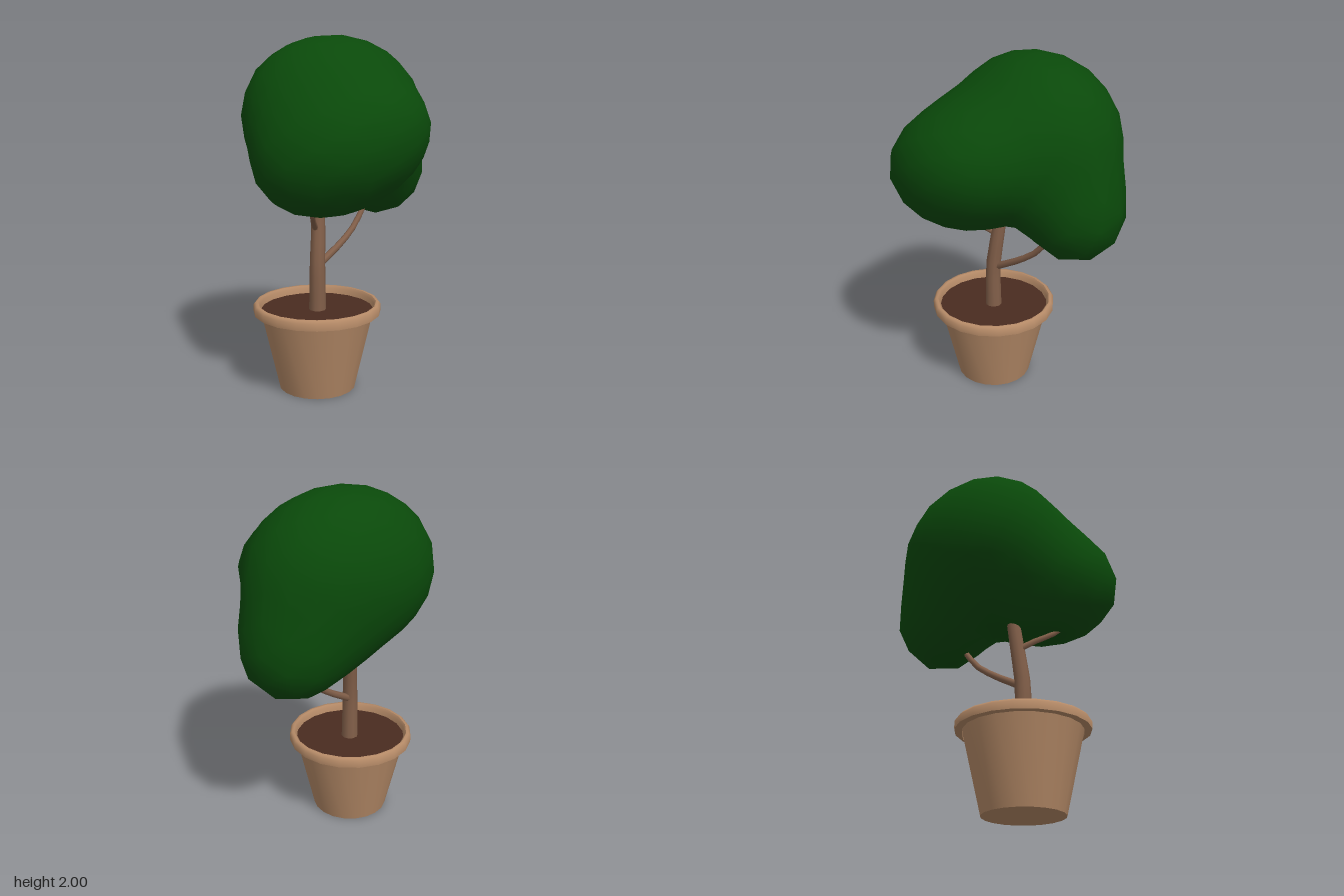
import * as THREE from 'three';
import { mergeVertices, toCreasedNormals } from 'three/addons/utils/BufferGeometryUtils.js';

const material = (name, color) => {
  const m = new THREE.MeshStandardMaterial({ color });
  m.name = name;
  return m;
};

// Tube along a smooth path, narrowing from radius r0 to r1
function taperedTube(points, r0, r1, sides, rings = 6) {
  const path = new THREE.CatmullRomCurve3(points.map(p => new THREE.Vector3(...p)));
  const geo = new THREE.TubeGeometry(path, rings, 1, sides);
  const pos = geo.attributes.position;
  const v = new THREE.Vector3();
  for (let i = 0; i < pos.count; i++) {
    const t = Math.floor(i / (sides + 1)) / rings;
    const c = path.getPointAt(t);
    v.fromBufferAttribute(pos, i).sub(c).multiplyScalar(r0 + (r1 - r0) * t).add(c);
    pos.setXYZ(i, v.x, v.y, v.z);
  }
  return geo;
}

// Foliage lobes: centre, radii, and lean (rise in y and z per unit of x)
const UPPER = { c: [-0.015, 1.56, -0.17], r: [0.51, 0.44, 0.43], lean: [0, -0.2] };
const FRONT = { c: [0.035, 1.395, 0.2], r: [0.475, 0.36, 0.425], lean: [0.2, -0.13] };
const CORNER = { c: [0.26, 1.22, -0.36], r: [0.28, 0.28, 0.27], lean: [0, 0] };

// Lobes spanning the gap between two others, so the skin bridges them
const span = (a, b, steps) => Array.from({ length: steps }, (_, i) => {
  const mix = key => a[key].map((v, j) => v + (b[key][j] - v) * i / (steps - 1));
  return { c: mix('c'), r: mix('r'), lean: mix('lean') };
});
const LOBES = [...span(UPPER, FRONT, 7), ...span(UPPER, CORNER, 7)];

// Approximate distance to the blended lobes, negative inside
function crownField(p) {
  const k = 0.008;
  let sum = 0;
  for (const { c, r, lean } of LOBES) {
    const dx = p.x - c[0];
    const q = Math.hypot(dx / r[0], (p.y - c[1] - lean[0] * dx) / r[1],
      (p.z - c[2] - lean[1] * dx) / r[2]);
    sum += Math.exp(-((q - 1) * Math.min(...r)) / k);
  }
  return -k * Math.log(sum);
}

// Ball whose vertices are drawn in along rays until they meet the lobes
function crownGeometry() {
  let geo = new THREE.IcosahedronGeometry(1, 4);
  geo.deleteAttribute('uv');
  geo.deleteAttribute('normal');
  geo = mergeVertices(geo, 1e-4);
  const centre = new THREE.Vector3(0.04, 1.43, -0.06);
  const pos = geo.attributes.position;
  const dir = new THREE.Vector3(), p = new THREE.Vector3();
  for (let i = 0; i < pos.count; i++) {
    dir.fromBufferAttribute(pos, i).normalize();
    let d = 1;
    do {
      d -= 0.004;
      p.copy(centre).addScaledVector(dir, d);
    } while (d > 0.05 && crownField(p) > 0);
    pos.setXYZ(i, p.x, p.y, p.z);
  }
  geo.computeVertexNormals();
  return geo;
}

export function createModel() {
  const group = new THREE.Group();
  group.name = 'pottedTree';
  const clay = material('clay', 0xb58a67);
  const earth = material('earth', 0x4a2c20);
  const bark = material('bark', 0x83604a);
  const leaf = material('leafGreen', 0x0a490a);

  const add = (name, geo, mat, parent = group) => {
    const mesh = new THREE.Mesh(geo, mat);
    mesh.name = name;
    parent.add(mesh);
    return mesh;
  };

  // Flared pot with a thick rim, and soil inside
  const pot = new THREE.Group();
  pot.name = 'pot';
  pot.position.set(-0.108, 0, 0.053);
  group.add(pot);
  const lathe = (profile) => toCreasedNormals(
    new THREE.LatheGeometry(profile.map(p => new THREE.Vector2(...p)), 20), 0.9);
  add('potBody', lathe([[0, 0], [0.221, 0], [0.325, 0.45]]), clay, pot);
  add('potRim', lathe([[0.315, 0.445], [0.364, 0.445], [0.365, 0.485],
    [0.352, 0.5], [0.338, 0.5], [0.326, 0.485], [0.322, 0.42]]), clay, pot);
  const soil = add('soil', new THREE.CircleGeometry(0.324, 20), earth, pot);
  soil.rotation.x = -Math.PI / 2;
  soil.position.y = 0.455;

  // Leaning trunk and two side branches
  add('trunk', taperedTube([[-0.105, 0.44, 0.053], [-0.105, 0.72, 0.053],
    [-0.1, 0.9, 0.03], [-0.1, 1.25, -0.02]], 0.049, 0.034, 10, 8), bark);
  add('backBranch', taperedTube([[-0.1, 0.71, 0.04], [0.04, 0.82, -0.09],
    [0.115, 0.9, -0.17], [0.18, 1.02, -0.24]], 0.022, 0.016, 7), bark);
  add('frontBranch', taperedTube([[-0.11, 0.91, 0.02], [-0.122, 0.96, 0.1],
    [-0.13, 1.03, 0.24], [-0.13, 1.1, 0.32]], 0.018, 0.013, 7), bark);

  add('crown', crownGeometry(), leaf);
  return group;
}
